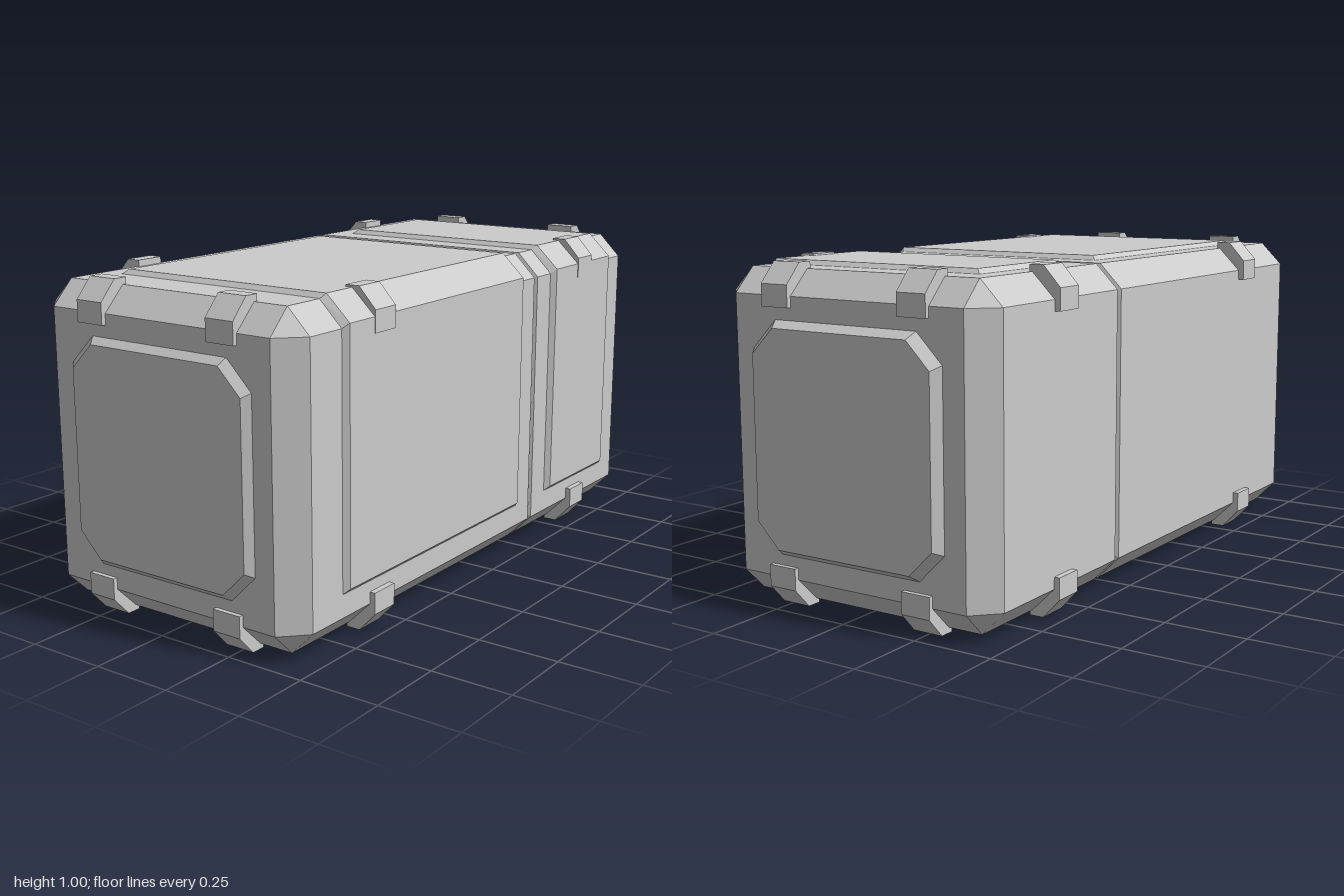
import * as THREE from 'three';
import { ConvexGeometry } from 'three/addons/geometries/ConvexGeometry.js';

const material = new THREE.MeshStandardMaterial({ color: 0xcccccc, flatShading: true });

// Body extents
const CX = -0.004, CY = 0.498, CZ = -0.0025;
const HX = 0.974, HY = 0.482, HZ = 0.4725, CH = 0.073;

// Convex solid from sections [x, [[z, y], ...]] stacked along x
function hull(name, sections) {
  const points = sections.flatMap(([x, ring]) => ring.map(([z, y]) => new THREE.Vector3(x, y, z)));
  const mesh = new THREE.Mesh(new ConvexGeometry(points), material);
  mesh.name = name;
  return mesh;
}

// Rectangle with cut corners, centred on (cz, cy)
function octagon(hz, hy, c, cz = CZ, cy = CY) {
  const pts = [];
  for (const sz of [-1, 1]) for (const sy of [-1, 1]) {
    pts.push([cz + sz * hz, cy + sy * (hy - c)], [cz + sz * (hz - c), cy + sy * hy]);
  }
  return pts;
}

function rectangle(hz, hy) {
  return [[-1, -1], [-1, 1], [1, -1], [1, 1]].map(([sz, sy]) => [CZ + sz * hz, CY + sy * hy]);
}

// One part of the chamfered body, from an outer end to the seam
function bodyPart(name, side, seam) {
  const full = octagon(HZ, HY, CH);
  return hull(name, [
    [CX + side * HX, rectangle(HZ - CH, HY - CH)],
    [CX + side * (HX - CH), full],
    [seam + side * 0.011, full],
    [seam + side * 0.004, octagon(HZ - 0.012, HY - 0.012, CH)],
  ]);
}

// Raised panel wrapping from the front over the chamfer onto the top
function wrapPanel(name, x0, x1) {
  const b = 0.016;
  const base = [[0.469, 0.158], [0.469, 0.906], [0.397, 0.979], [-0.335, 0.979]];
  const raised = [[0.486, 0.174], [0.486, 0.921], [0.409, 0.994], [-0.318, 0.994]];
  return hull(name, [[x0, base], [x0 + b, raised], [x1 - b, raised], [x1, base]]);
}

// Raised octagonal panel on an end
function endPanel(name, xBase, xTop) {
  return hull(name, [
    [xBase, octagon(0.334, 0.342, 0.085, 0, CY)],
    [xTop, octagon(0.312, 0.32, 0.077, 0, CY)],
  ]);
}

// Clip over a chamfered edge: x is inward from the outer face, y is down from the top
const clipShape = new THREE.Shape([
  [0, 0.125], [0, 0.06], [0.055, 0], [0.1, 0], [0.1, 0.04], [0.04, 0.125],
].map(([a, b]) => new THREE.Vector2(-a, -b)));
const CLIP_W = 0.096;
const clipGeometry = new THREE.ExtrudeGeometry(clipShape, { depth: CLIP_W, bevelEnabled: false });
clipGeometry.translate(0, 0, -CLIP_W / 2);

function clip(name, bottom, angle, reach, along) {
  const mesh = new THREE.Mesh(clipGeometry, material);
  mesh.name = name;
  // A half turn about the outward axis gives the bottom clip
  if (bottom) mesh.rotation.x = Math.PI;
  mesh.position.set(reach, bottom ? 0 : 1, along);
  const pivot = new THREE.Group();
  pivot.name = name + 'Pivot';
  pivot.rotation.y = angle;
  pivot.add(mesh);
  return pivot;
}

export function createModel() {
  const crate = new THREE.Group();
  crate.name = 'crate';

  // Body in two parts with a narrow seam
  const seam = 0.289;
  const core = octagon(HZ - 0.012, HY - 0.012, CH);
  crate.add(
    bodyPart('mainBody', -1, seam),
    bodyPart('lidBody', 1, seam),
    hull('seamCore', [[seam - 0.02, core], [seam + 0.02, core]]),
  );

  // Panels
  crate.add(
    wrapPanel('largePanel', -0.77, 0.193),
    wrapPanel('smallPanel', 0.386, 0.802),
    endPanel('rightEndPanel', -0.976, -1),
    endPanel('leftEndPanel', 0.968, 1),
  );

  // Clips: two on each long and each end edge, top and bottom
  const clips = new THREE.Group();
  clips.name = 'clips';
  for (const bottom of [false, true]) {
    for (const s of [-1, 1]) {
      for (const side of [0, 1]) {
        clips.add(clip('endClip', bottom, side * Math.PI, 0.988, s * 0.24));
        clips.add(clip('longEdgeClip', bottom, (side - 0.5) * Math.PI, 0.4905, s * 0.595));
      }
    }
  }
  clips.position.set(CX, 0, CZ);
  // Long edge clips sit slightly toward the lid
  for (const c of clips.children) if (c.name.startsWith('long')) c.position.x = 0.008;
  crate.add(clips);
  return crate;
}
